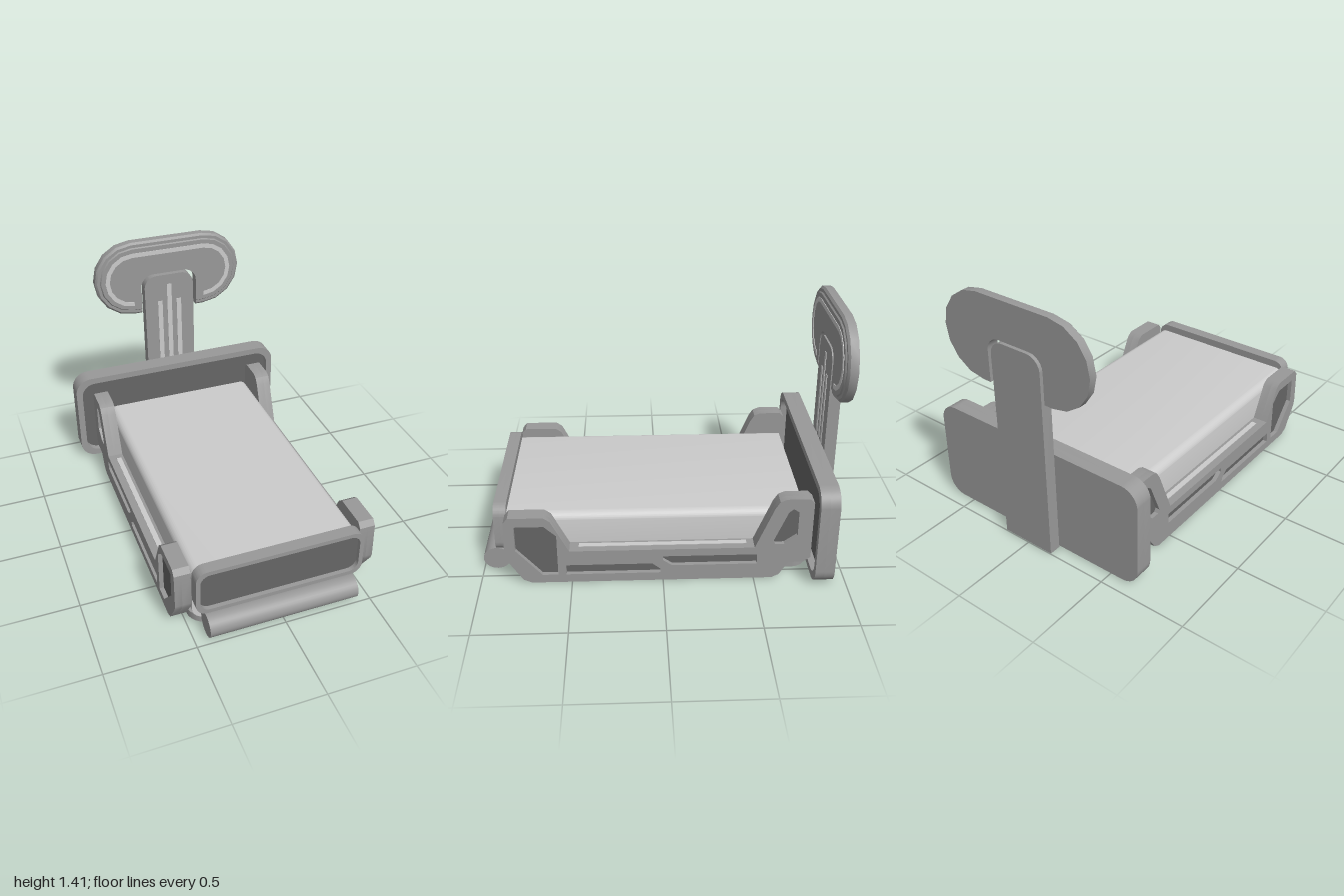
import * as THREE from 'three';
import { toCreasedNormals } from 'three/addons/utils/BufferGeometryUtils.js';

const light = new THREE.MeshStandardMaterial({ color: 0xcccccc });
const mid = new THREE.MeshStandardMaterial({ color: 0x999999 });
const dark = new THREE.MeshStandardMaterial({ color: 0x666666 });

// Rounded rectangle from corner to corner; bottom corners may have their own radius
function roundRect(x0, y0, x1, y1, r, rb = r) {
  const s = new THREE.Shape();
  s.moveTo(x0 + rb, y0).lineTo(x1 - rb, y0);
  if (rb) s.absarc(x1 - rb, y0 + rb, rb, -Math.PI / 2, 0);
  s.lineTo(x1, y1 - r).absarc(x1 - r, y1 - r, r, 0, Math.PI / 2);
  s.lineTo(x0 + r, y1).absarc(x0 + r, y1 - r, r, Math.PI / 2, Math.PI);
  s.lineTo(x0, y0 + rb);
  if (rb) s.absarc(x0 + rb, y0 + rb, rb, Math.PI, Math.PI * 1.5);
  return s;
}

const polygon = (pts) => new THREE.Shape(pts.map(([x, y]) => new THREE.Vector2(x, y)));

// Extrude a front-facing shape from z0 to z1
function slab(shape, z0, z1) {
  return new THREE.ExtrudeGeometry(shape, { depth: z1 - z0, bevelEnabled: false, curveSegments: 8 })
    .translate(0, 0, z0);
}

// Extrude a (z, y) side profile from x0 to x1
function sideSlab(shape, x0, x1) {
  return slab(shape, 0, x1 - x0).rotateY(-Math.PI / 2).translate(x1, 0, 0);
}

// Points of an arc
function arc(cx, cy, r, a0, a1, n = 8) {
  return Array.from({ length: n + 1 }, (_, i) => {
    const a = a0 + ((a1 - a0) * i) / n;
    return [cx + r * Math.cos(a), cy + r * Math.sin(a)];
  });
}

// Two half circles joined by a straight top, open below
const H = Math.PI / 2;
const arch = (r) => [...arc(0.23, 1.17, r, -H, H), ...arc(-0.23, 1.17, r, H, 3 * H)];

// Stadium outline with a notch that clears the post
function headOutline(inset) {
  const r = 0.24 - inset;
  return [
    [0.18, 1.17 - r], ...arch(r), [-0.18, 1.17 - r],
    ...arc(-0.1, 1.11, 0.08, Math.PI, H, 6), ...arc(0.1, 1.11, 0.08, H, 0, 6),
  ];
}

// Skin a stack of outlines [points, z] and close both ends
function loft(rings) {
  const pos = [];
  const put = (k, j) => pos.push(...rings[k][0][j], rings[k][1]);
  const n = rings[0][0].length;
  for (let k = 0; k < rings.length - 1; k++) {
    for (let j = 0; j < n; j++) {
      const m = (j + 1) % n;
      put(k, j); put(k, m); put(k + 1, m);
      put(k, j); put(k + 1, m); put(k + 1, j);
    }
  }
  const last = rings.length - 1;
  for (const k of [0, last]) {
    const flat = rings[k][0].map(([x, y]) => new THREE.Vector2(x, y));
    for (const [a, b, c] of THREE.ShapeUtils.triangulateShape(flat, [])) {
      for (const j of k ? [a, b, c] : [a, c, b]) put(k, j);
    }
  }
  const g = new THREE.BufferGeometry();
  g.setAttribute('position', new THREE.Float32BufferAttribute(pos, 3));
  return g;
}

export function createModel() {
  const model = new THREE.Group();
  model.name = 'bed';
  const add = (parent, name, geometry, material) => {
    const mesh = new THREE.Mesh(toCreasedNormals(geometry, 0.5), material);
    mesh.name = name;
    parent.add(mesh);
    return mesh;
  };
  const group = (name) => {
    const g = new THREE.Group();
    g.name = name;
    model.add(g);
    return g;
  };

  // Base plate and mattress
  add(model, 'base', slab(roundRect(-0.475, -0.85, 0.475, 0.82, 0.1), 0, 0.045).rotateX(-H), mid);
  add(model, 'mattress', slab(roundRect(-0.475, 0.045, 0.475, 0.38, 0.05, 0.08), -0.78, 0.85), light);

  // Framed boards: solid back, raised frame, dark inset panel
  const board = (name, box, r, rim, z0, zPanel, z1) => {
    const [x, y0, y1] = box;
    const g = group(name);
    const outer = () => roundRect(-x, y0, x, y1, r);
    const inner = () => roundRect(-x + rim, y0 + rim, x - rim, y1 - rim, r - rim * 0.4);
    const frame = outer();
    frame.holes.push(inner());
    add(g, name + 'Back', slab(outer(), z0, zPanel - 0.01), mid);
    add(g, name + 'Frame', slab(frame, zPanel - 0.01, z1), mid);
    add(g, name + 'Panel', slab(inner(), zPanel - 0.01, zPanel), dark);
  };
  board('footboard', [0.475, 0.14, 0.425], 0.065, 0.024, 0.85, 0.895, 0.92);
  board('headboard', [0.675, 0.005, 0.59], 0.1, 0.038, -0.925, -0.86, -0.82);

  // Foot roller
  const roller = new THREE.CylinderGeometry(1, 1, 0.85, 32).rotateZ(H)
    .scale(1, 0.067, 0.076).translate(0, 0.067, 0.924);
  add(model, 'footRoller', roller, mid);

  // Side rails with dark recesses and a light strip on top
  const railProfile = [
    [0.85, 0.15], [0.86, 0.18], [0.855, 0.385], [0.83, 0.415], [0.64, 0.415], [0.605, 0.39],
    [0.51, 0.2], [-0.5, 0.2], [-0.6, 0.445], [-0.625, 0.485], [-0.66, 0.5], [-0.785, 0.5],
    [-0.81, 0.475], [-0.81, 0.13], [-0.77, 0.1], [-0.69, 0.1], [-0.64, 0.02], [-0.6, 0],
    [0.72, 0], [0.765, 0.02],
  ];
  const recesses = [
    [[0.8, 0.36], [0.64, 0.36], [0.575, 0.3], [0.575, 0.05], [0.66, 0.05], [0.8, 0.21]],
    [[0.53, 0.11], [0.06, 0.11], [0.015, 0.075], [0.015, 0.05], [0.53, 0.05]],
    [[0, 0.155], [-0.515, 0.155], [-0.515, 0.095], [-0.05, 0.095], [0, 0.13]],
    [[-0.6, 0.24], [-0.675, 0.42], [-0.7, 0.44], [-0.73, 0.42], [-0.73, 0.27], [-0.66, 0.22], [-0.61, 0.22]],
  ];
  for (const s of [1, -1]) {
    const g = group(s > 0 ? 'leftRail' : 'rightRail');
    const span = (shape, a, b) => (s > 0 ? sideSlab(shape, a, b) : sideSlab(shape, -b, -a));
    const face = polygon(railProfile);
    for (const r of recesses) {
      face.holes.push(polygon(r));
      add(g, 'railRecess', span(polygon(r), 0.53, 0.545), dark);
    }
    add(g, 'railCore', span(polygon(railProfile), 0.48, 0.53), mid);
    add(g, 'railFace', span(face, 0.53, 0.57), mid);
    add(g, 'railStrip', new THREE.BoxGeometry(0.03, 0.006, 0.92).translate(s * 0.512, 0.2, 0), light);
  }

  // Post behind the headboard with three light strips
  const post = group('post');
  add(post, 'postBody', slab(roundRect(-0.16, 0.005, 0.16, 1.175, 0.08, 0), -1, -0.934), mid);
  for (const [x, top] of [[-0.062, 1.0], [0, 1.11], [0.062, 1.0]]) {
    add(post, 'postStrip', slab(roundRect(x - 0.015, 0.55, x + 0.015, top, 0.001), -0.936, -0.931), light);
  }

  // Head panel around the post top, stepped rim, with an arched light strip
  const head = group('headPanel');
  const steps = [[0, -1], [0, -0.955], [0.012, -0.943], [0.03, -0.943], [0.036, -0.935]];
  add(head, 'headBody', loft(steps.map(([inset, z]) => [headOutline(inset), z])), mid);
  add(head, 'headStrip', slab(polygon([...arch(0.177), ...arch(0.15).reverse()]), -0.937, -0.932), light);

  return model;
}
